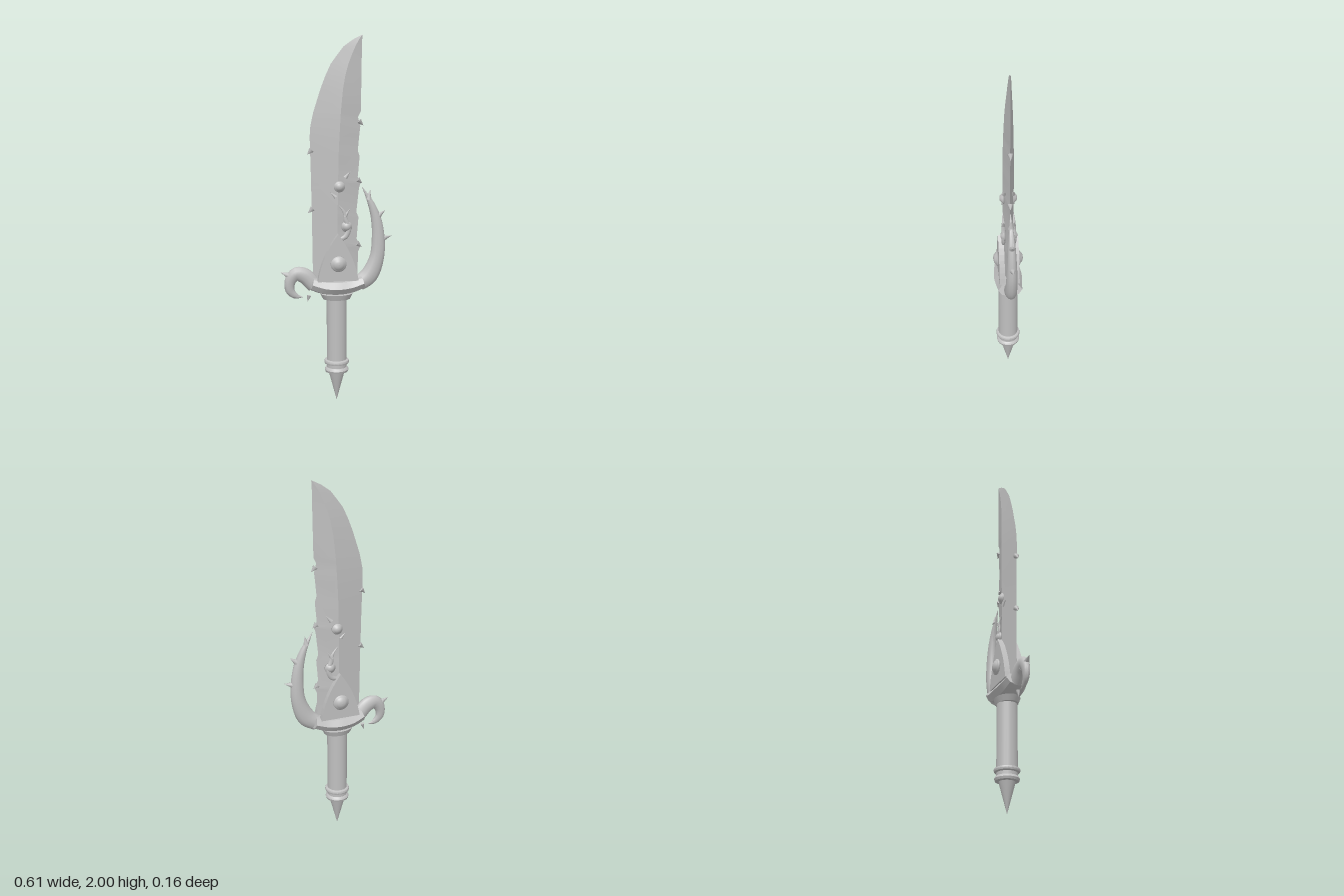
import * as THREE from 'three';
import { toCreasedNormals } from 'three/addons/utils/BufferGeometryUtils.js';

const steel = new THREE.MeshStandardMaterial({ color: 0xc0c0c0 });
steel.name = 'grey steel';

function add(parent, geometry, name) {
  const mesh = new THREE.Mesh(geometry, steel);
  mesh.name = name;
  parent.add(mesh);
  return mesh;
}

// Closed skin over a list of rings with equal point counts
function skin(rings, crease) {
  const n = rings[0].length, pos = [], index = [];
  rings.forEach(r => r.forEach(p => pos.push(...p)));
  for (let i = 0; i < rings.length - 1; i++) {
    for (let j = 0; j < n; j++) {
      const a = i * n + j, b = i * n + (j + 1) % n;
      index.push(a, b, a + n, b, b + n, a + n);
    }
  }
  const last = (rings.length - 1) * n;
  for (let j = 1; j < n - 1; j++) {
    index.push(0, j + 1, j, last, last + j, last + j + 1);
  }
  const g = new THREE.BufferGeometry();
  g.setAttribute('position', new THREE.Float32BufferAttribute(pos, 3));
  g.setIndex(index);
  return toCreasedNormals(g, crease);
}

// Tapered sweep in the xy plane; each station is [x, y, radius, depth radius]
function sweep(stations, { z = 0, sides = 12, steps = 24, crease = 0.8 } = {}) {
  const path = new THREE.CatmullRomCurve3(stations.map(s => new THREE.Vector3(s[0], s[1], z)));
  const size = new THREE.CatmullRomCurve3(stations.map(s => new THREE.Vector3(s[2], s[3], 0)));
  const rings = [];
  for (let i = 0; i <= steps; i++) {
    const c = path.getPoint(i / steps), t = path.getTangent(i / steps), r = size.getPoint(i / steps);
    rings.push(Array.from({ length: sides }, (_, j) => {
      const a = j / sides * Math.PI * 2;
      const u = Math.cos(a) * Math.max(r.x, 0.001), v = Math.sin(a) * Math.max(r.y, 0.001);
      return [c.x - t.y * u, c.y + t.x * u, z + v];
    }));
  }
  return skin(rings, crease);
}

// Cone from a base point to a tip point
function spike(parent, name, base, tip, radius, z = 0) {
  const a = new THREE.Vector3(base[0], base[1], z), b = new THREE.Vector3(tip[0], tip[1], z);
  const d = b.clone().sub(a);
  const mesh = add(parent, new THREE.ConeGeometry(radius, d.length(), 8), name);
  mesh.position.copy(a).add(b).multiplyScalar(0.5);
  mesh.quaternion.setFromUnitVectors(new THREE.Vector3(0, 1, 0), d.normalize());
}

// Domed stud with a flat rim, facing +z or -z
function rivet(parent, name, x, y, z, radius, height, side) {
  const profile = [[0, 0], [1, 0], [1, 0.35], [0.78, 0.45], [0.72, 0.6], [0.5, 0.85], [0.25, 0.97], [0, 1]];
  const g = new THREE.LatheGeometry(profile.map(p => new THREE.Vector2(p[0] * radius, p[1] * height)), 20);
  const mesh = add(parent, g, name);
  mesh.rotation.x = side * Math.PI / 2;
  mesh.position.set(x, y, side * z);
}

export function createModel() {
  const model = new THREE.Group();
  model.name = 'dagger';

  // Blade: diamond sections [y, back edge, ridge, cutting edge, half thickness]
  const blade = [
    [0.66, -0.13, 0, 0.115, 0.03], [0.84, -0.132, 0, 0.118, 0.03], [0.87, -0.132, 0, 0.132, 0.03],
    [0.91, -0.133, 0, 0.11, 0.03], [1.03, -0.135, 0, 0.12, 0.03], [1.06, -0.135, 0, 0.108, 0.03],
    [1.19, -0.138, 0.002, 0.122, 0.03], [1.22, -0.138, 0.002, 0.132, 0.03], [1.25, -0.139, 0.003, 0.115, 0.03],
    [1.36, -0.142, 0.005, 0.125, 0.03], [1.39, -0.143, 0.006, 0.115, 0.03], [1.47, -0.145, 0.01, 0.122, 0.029],
    [1.52, -0.142, 0.013, 0.128, 0.028], [1.57, -0.132, 0.016, 0.115, 0.027], [1.6, -0.125, 0.018, 0.13, 0.026],
    [1.72, -0.087, 0.03, 0.132, 0.022], [1.79, -0.06, 0.043, 0.133, 0.018], [1.85, -0.032, 0.06, 0.134, 0.014],
    [1.9, 0.005, 0.08, 0.134, 0.01], [1.94, 0.036, 0.098, 0.135, 0.007], [1.975, 0.085, 0.118, 0.136, 0.004],
    [2.0, 0.134, 0.136, 0.138, 0.001],
  ];
  add(model, skin(blade.map(([y, l, m, r, t]) => [[l, y, 0], [m, y, t], [r, y, 0], [m, y, -t]]), 0.2), 'blade');

  // Small barbs along both blade edges
  [[[-0.135, 1.4], [-0.16, 1.375]], [[-0.13, 1.085], [-0.157, 1.06]], [[0.12, 1.55], [0.145, 1.525]],
    [[0.115, 1.235], [0.14, 1.215]], [[0.112, 0.885], [0.138, 0.865]]]
    .forEach(([a, b]) => spike(model, 'bladeBarb', a, b, 0.016));

  // Grip, collar, pommel rings and pommel spike
  const grip = add(model, new THREE.CylinderGeometry(0.055, 0.055, 0.42, 20), 'grip');
  grip.position.y = 0.4;
  const collar = add(model, new THREE.CylinderGeometry(0.09, 0.075, 0.03, 16), 'collar');
  collar.position.y = 0.597;
  collar.scale.z = 0.75;
  const pommel = [[0, 0], [0.044, 0.165], [0.062, 0.168], [0.066, 0.18], [0.06, 0.192], [0.05, 0.197],
    [0.052, 0.211], [0.066, 0.216], [0.069, 0.225], [0.066, 0.234], [0.054, 0.239], [0, 0.239]];
  add(model, toCreasedNormals(new THREE.LatheGeometry(pommel.map(p => new THREE.Vector2(...p)), 20), 0.7), 'pommel');

  // Crossguard
  add(model, sweep([[-0.14, 0.675, 0.038, 0.058], [-0.075, 0.655, 0.044, 0.072], [0, 0.649, 0.046, 0.079],
    [0.075, 0.655, 0.044, 0.072], [0.142, 0.675, 0.038, 0.066]], { sides: 8, steps: 12, crease: 0.6 }), 'crossguard');

  // Curled hook on the -x side
  add(model, sweep([[-0.125, 0.662, 0.042, 0.034], [-0.175, 0.715, 0.043, 0.03], [-0.222, 0.728, 0.038, 0.026],
    [-0.255, 0.69, 0.031, 0.021], [-0.256, 0.638, 0.025, 0.016], [-0.226, 0.606, 0.016, 0.01],
    [-0.187, 0.597, 0.001, 0.001]]), 'curledHook');
  spike(model, 'hookSpike', [-0.262, 0.72], [-0.308, 0.742], 0.017);
  spike(model, 'hookSpike', [-0.152, 0.605], [-0.162, 0.568], 0.012);

  // Long horn sweeping up on the +x side
  add(model, sweep([[0.12, 0.66, 0.045, 0.036], [0.18, 0.705, 0.05, 0.034], [0.223, 0.805, 0.041, 0.031],
    [0.23, 0.91, 0.036, 0.027], [0.219, 1.01, 0.029, 0.022], [0.192, 1.095, 0.019, 0.015],
    [0.14, 1.195, 0.001, 0.001]], { steps: 30 }), 'guardHorn');
  [[[0.255, 0.908], [0.305, 0.922]], [[0.23, 1.035], [0.268, 1.064]], [[0.175, 1.125], [0.184, 1.178]]]
    .forEach(([a, b]) => spike(model, 'hornSpike', a, b, 0.017));

  // Arched plate outline
  const plate = new THREE.Shape();
  plate.moveTo(-0.112, 0.69);
  plate.lineTo(0.112, 0.69);
  plate.quadraticCurveTo(0.09, 0.83, 0, 0.95);
  plate.quadraticCurveTo(-0.09, 0.83, -0.112, 0.69);

  // Ornaments on both faces of the blade
  for (const side of [1, -1]) {
    const face = new THREE.Group();
    face.name = side > 0 ? 'frontOrnaments' : 'backOrnaments';
    model.add(face);
    const slab = new THREE.ExtrudeGeometry(plate, { depth: 0.03, bevelEnabled: false, curveSegments: 8 });
    add(face, slab, 'archedPlate').position.z = side > 0 ? 0.025 : -0.055;
    rivet(face, 'plateRivet', 0, 0.787, 0.053, 0.043, 0.029, side);
    rivet(face, 'bladeRivet', 0.01, 1.203, 0.022, 0.03, 0.025, side);
    rivet(face, 'bladeRivet', 0.05, 0.985, 0.02, 0.03, 0.026, side);
    const z = side * 0.029;
    add(face, sweep([[0.012, 0.915, 0.009, 0.009], [0.045, 0.932, 0.014, 0.011], [0.062, 0.975, 0.013, 0.011],
      [0.045, 1.02, 0.013, 0.01], [0.038, 1.06, 0.009, 0.008], [0.005, 1.105, 0.001, 0.001]],
      { z, sides: 8, steps: 16 }), 'tendril');
    spike(face, 'tendrilThorn', [0.04, 1.04], [0.068, 1.082], 0.011, z);
    spike(face, 'bladeThorn', [0.042, 1.25], [0.072, 1.284], 0.012, side * 0.023);
    spike(face, 'bladeThorn', [-0.01, 1.148], [-0.038, 1.174], 0.011, side * 0.025);
  }
  return model;
}
